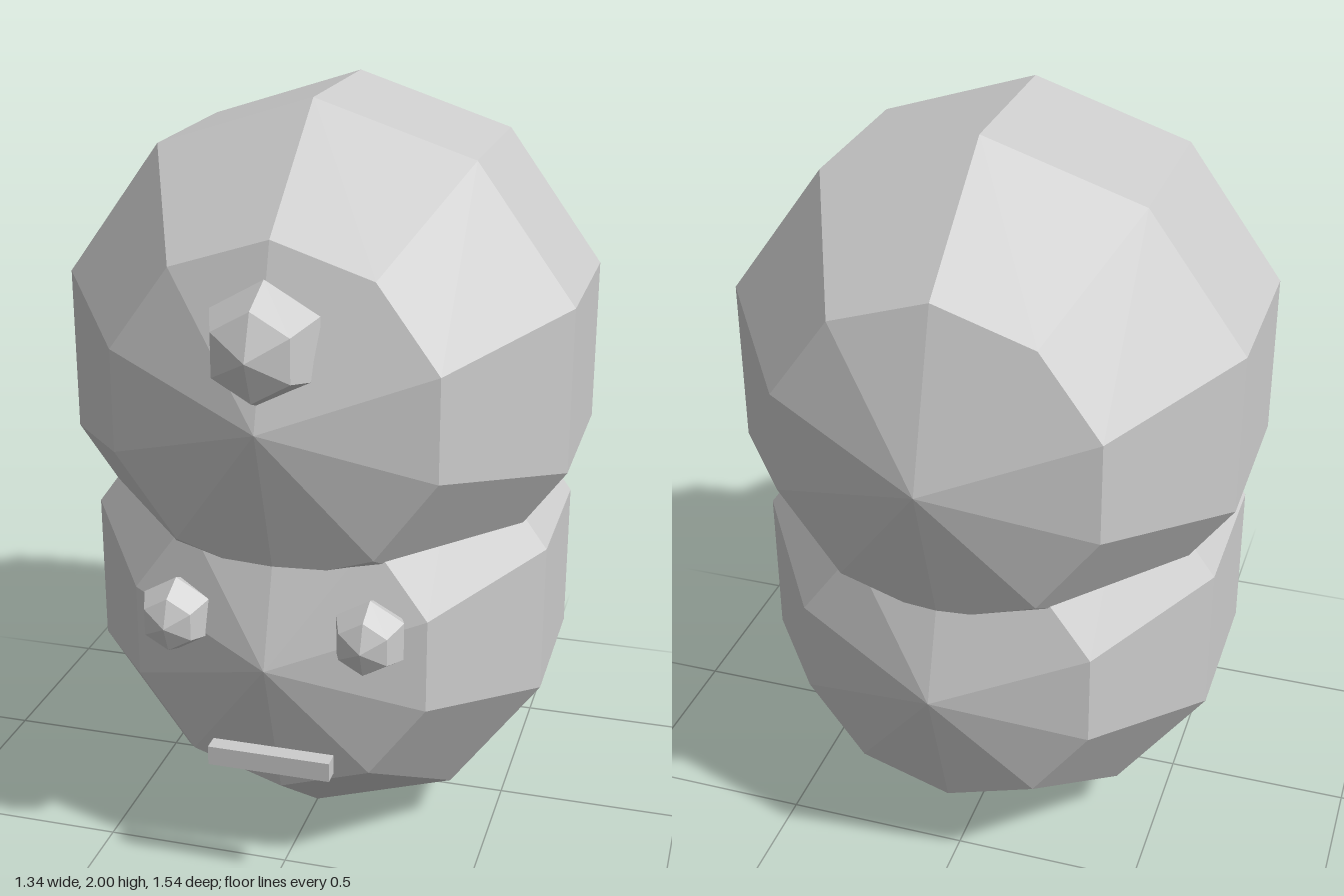
import * as THREE from 'three';

const grey = new THREE.MeshStandardMaterial({ color: 0xcccccc });
grey.name = 'lightGrey';
grey.flatShading = true;

// Faceted ball with its poles on the z axis and a corner pointing straight up
function addBall(group, name, radius, sides, rings, x, y, z) {
  const geometry = new THREE.SphereGeometry(radius, sides, rings, Math.PI / 2);
  geometry.rotateX(Math.PI / 2);
  const mesh = new THREE.Mesh(geometry, grey);
  mesh.name = name;
  mesh.position.set(x, y, z);
  group.add(mesh);
}

export function createModel() {
  const model = new THREE.Group();
  model.name = 'stackedFigure';

  // Two overlapping main masses
  addBall(model, 'upperBall', 0.74, 10, 5, 0, 1.3, -0.035);
  addBall(model, 'lowerBall', 0.69, 10, 5, 0, 0.657, -0.03);

  // Round ornament on the upper ball
  addBall(model, 'upperKnob', 0.157, 6, 4, 0, 1.495, 0.61);

  // Pair of eyes
  for (const side of [-1, 1]) {
    addBall(model, side > 0 ? 'leftEye' : 'rightEye', 0.1, 6, 4, side * 0.253, 0.751, 0.584);
  }

  // Straight mouth bar
  const mouth = new THREE.Mesh(new THREE.BoxGeometry(0.324, 0.052, 0.045), grey);
  mouth.name = 'mouth';
  mouth.position.set(0, 0.379, 0.613);
  model.add(mouth);

  return model;
}
